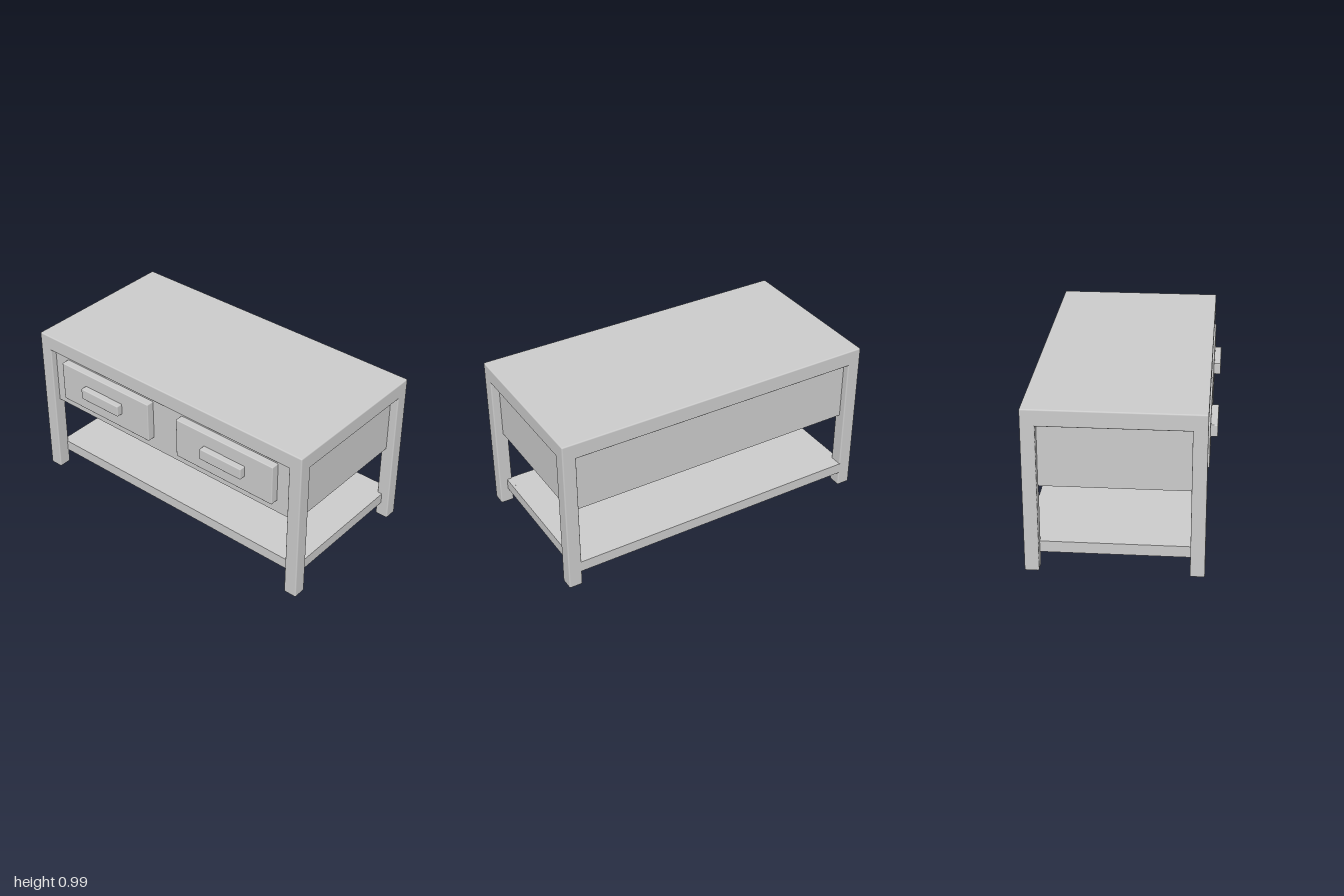
import * as THREE from 'three';
import { RoundedBoxGeometry } from 'three/addons/geometries/RoundedBoxGeometry.js';

const material = new THREE.MeshStandardMaterial({ color: 0xcccccc });

// Box given by its minimum and maximum corners; radius > 0 softens the edges
function block(parent, name, [x0, y0, z0], [x1, y1, z1], radius = 0) {
  const size = [x1 - x0, y1 - y0, z1 - z0];
  const geometry = radius
    ? new RoundedBoxGeometry(...size, 2, radius)
    : new THREE.BoxGeometry(...size);
  const mesh = new THREE.Mesh(geometry, material);
  mesh.name = name;
  mesh.position.set((x0 + x1) / 2, (y0 + y1) / 2, (z0 + z1) / 2);
  parent.add(mesh);
}

function subgroup(parent, name) {
  const group = new THREE.Group();
  group.name = name;
  parent.add(group);
  return group;
}

export function createModel() {
  const table = new THREE.Group();
  table.name = 'coffeeTable';

  const front = 0.483, back = -0.53, top = 0.99;
  const legW = 0.083, soft = 0.008;
  const beamBottom = 0.89, apronBottom = 0.512;

  // Legs and top beams share one outer surface
  const frame = subgroup(table, 'frame');
  for (const [zName, z0, z1] of [['front', front - legW, front], ['back', back, back + legW]]) {
    for (const [xName, x0, x1] of [['Left', 1 - legW, 1], ['Right', -1, legW - 1]]) {
      block(frame, `${zName}${xName}Leg`, [x0, 0, z0], [x1, top, z1], soft);
    }
    block(frame, `${zName}Beam`, [-1, beamBottom, z0], [1, top, z1], soft);
  }
  block(frame, 'leftBeam', [1 - legW, beamBottom, back], [1, top, front], soft);
  block(frame, 'rightBeam', [-1, beamBottom, back], [legW - 1, top, front], soft);

  // Table top, thinner than the beams so the underside is recessed
  block(table, 'tableTop', [-1 + soft, 0.93, back + soft], [1 - soft, top, front - soft]);

  // Thin apron panels set back from the legs, open underneath
  const apron = subgroup(table, 'apron');
  const panel = 0.02, px = 0.95, pzFront = 0.442, pzBack = -0.487;
  block(apron, 'frontPanel', [-px, apronBottom, pzFront - panel], [px, 0.91, pzFront]);
  block(apron, 'backPanel', [-px, apronBottom, pzBack], [px, 0.91, pzBack + panel]);
  block(apron, 'leftPanel', [px - panel, apronBottom, pzBack], [px, 0.91, pzFront]);
  block(apron, 'rightPanel', [-px, apronBottom, pzBack], [-px + panel, 0.91, pzFront]);

  // Two drawers with bar handles
  for (const [name, side] of [['left', 1], ['right', -1]]) {
    const drawer = subgroup(table, `${name}Drawer`);
    const cx = side * 0.462, hx = side * 0.47;
    block(drawer, 'drawerFront', [cx - 0.352, 0.59, 0.43], [cx + 0.352, 0.848, 0.491], 0.006);
    block(drawer, 'handle', [hx - 0.15, 0.69, 0.48], [hx + 0.15, 0.762, 0.53], 0.006);
  }

  // Lower shelf: a board edged with rails, hollow below
  const shelf = subgroup(table, 'shelf');
  const sx = 0.95, sFront = 0.41, sBack = -0.53, low = 0.097, high = 0.165, rail = 0.02;
  block(shelf, 'shelfBoard', [-sx + rail, 0.145, sBack + rail], [sx - rail, high, sFront - rail]);
  block(shelf, 'shelfFrontRail', [-sx, low, sFront - rail], [sx, high, sFront]);
  block(shelf, 'shelfBackRail', [-sx, low, sBack], [sx, high, sBack + rail]);
  block(shelf, 'shelfLeftRail', [sx - rail, low, sBack], [sx, high, sFront]);
  block(shelf, 'shelfRightRail', [-sx, low, sBack], [-sx + rail, high, sFront]);

  return table;
}
